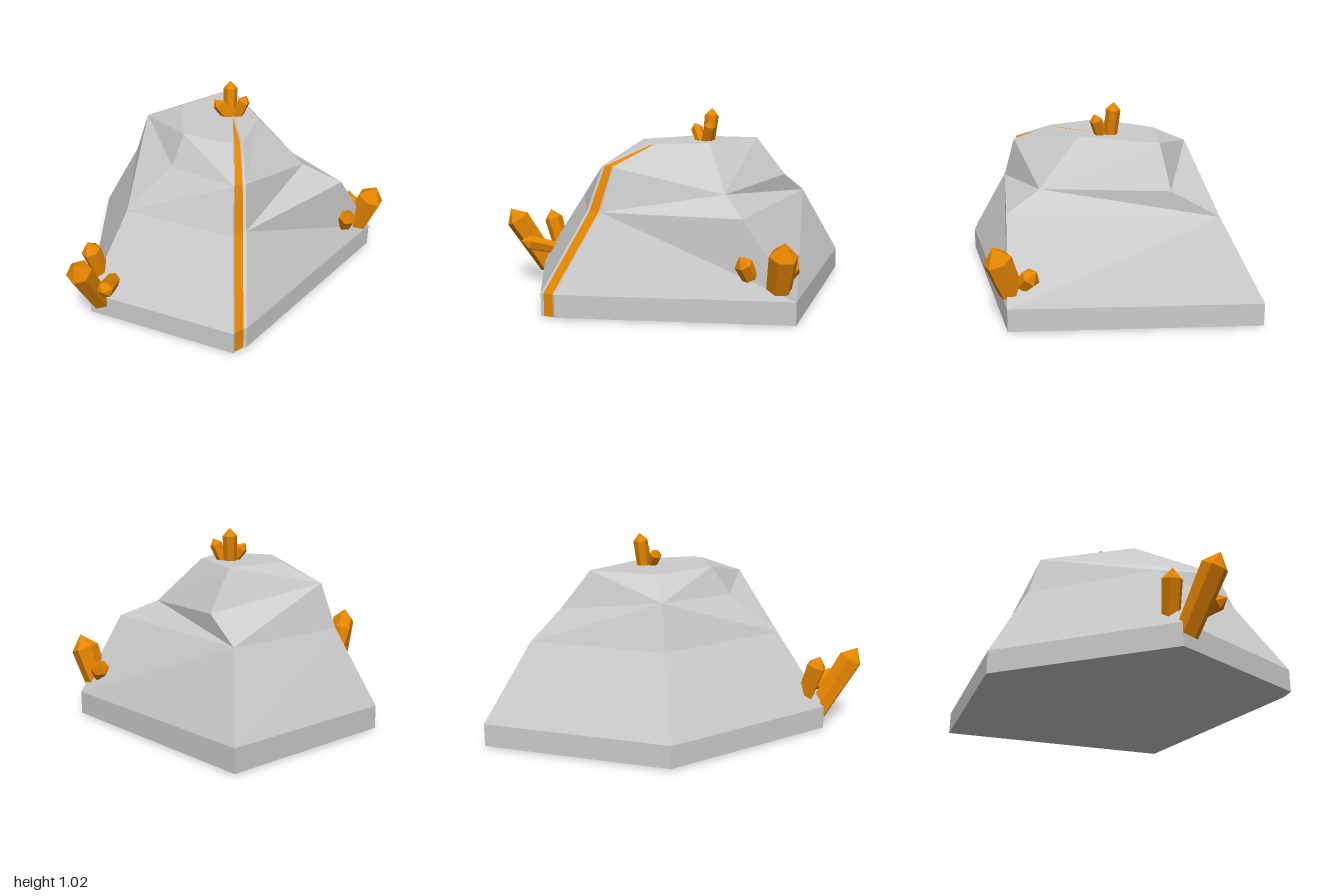
import * as THREE from 'three';

const grey = new THREE.MeshStandardMaterial({ color: 0xcccccc, flatShading: true });
const amber = new THREE.MeshStandardMaterial({ color: 0xe68600, flatShading: true });

// Cross-sections: back, right, chamfered front-right corner (2 points), front-left, left
const base = [[-0.4, 0.125, -1], [0.745, 0.125, -0.45], [0.46, 0.125, 0.72], [0.42, 0.125, 0.79], [-0.4, 0.125, 0.79], [-0.815, 0.125, -0.1]];
const rings = [
  base.map(([x, , z]) => [x, 0.006, z]),
  base,
  [[-0.29, 0.52, -0.75], [0.63, 0.52, -0.2], [0.35, 0.52, 0.48], [0.31, 0.52, 0.55], [-0.29, 0.52, 0.55], [-0.59, 0.52, -0.1]],
  [[-0.1, 0.64, -0.59], [0.42, 0.61, -0.15], [0.315, 0.745, 0.41], [0.275, 0.75, 0.465], [-0.14, 0.7, 0.32], [-0.51, 0.75, -0.1]],
  [[-0.13, 0.85, -0.43], [0.17, 0.85, -0.11], [0.2, 0.85, 0.19], [0.165, 0.85, 0.22], [-0.12, 0.85, 0.22], [-0.29, 0.85, -0.1]],
];
// Which way each quad is split, per level: 1 = start-low to end-high
const splits = ['000000', '010000', '100010', '000101'];
const VEIN = 2; // side of the cross-sections that carries the groove
const bottom = [0, 0, 0], top = [0.02, 0.85, -0.1];

function meshFrom(name, tris, material) {
  const g = new THREE.BufferGeometry();
  g.setAttribute('position', new THREE.Float32BufferAttribute(tris.flat(2), 3));
  g.computeVertexNormals();
  const m = new THREE.Mesh(g, material);
  m.name = name;
  return m;
}

const quad = (a, b, c, d, rising) => (rising ? [[a, c, d], [a, d, b]] : [[a, c, b], [b, c, d]]);

function makeRock() {
  const tris = [];
  const n = base.length;
  for (let i = 0; i < n; i++) {
    const j = (i + 1) % n;
    tris.push([bottom, rings[0][i], rings[0][j]]);
    if (i === VEIN) continue;
    for (let k = 0; k < rings.length - 1; k++) {
      tris.push(...quad(rings[k][i], rings[k][j], rings[k + 1][i], rings[k + 1][j], splits[k][i] === '1'));
    }
    tris.push([top, rings[4][j], rings[4][i]]);
  }
  return meshFrom('rock', tris, grey);
}

// Shallow groove down the chamfered corner: grey walls and an amber vein as its floor
function makeVein() {
  const group = new THREE.Group();
  group.name = 'vein';
  const rows = rings.map((r, k) => {
    const p = r[VEIN], q = r[VEIN + 1];
    const inward = k === 4 ? [-0.004, -0.008, -0.005] : [-0.006, 0, -0.004];
    const inner = (t) => p.map((v, i) => v + (q[i] - v) * t + inward[i]);
    return [p, inner(0.2), inner(0.85), q];
  });
  rows.push([top, top, top, top]);
  const walls = [], floor = [];
  for (let k = 0; k < rows.length - 1; k++) {
    for (let s = 0; s < 3; s++) {
      const strip = quad(rows[k][s], rows[k][s + 1], rows[k + 1][s], rows[k + 1][s + 1], false);
      // The last row meets in one point, so its second triangle is empty
      (s === 1 ? floor : walls).push(...strip.slice(0, k === rows.length - 2 ? 1 : 2));
    }
  }
  group.add(meshFrom('grooveWalls', walls, grey), meshFrom('veinFloor', floor, amber));
  return group;
}

// Six-sided crystal from its foot to its tip
function makeCrystal(foot, tip, r) {
  const a = new THREE.Vector3(...foot), dir = new THREE.Vector3(...tip).sub(a);
  const h = dir.length();
  const profile = [[0, 0], [r * 0.87, 0], [r, h - r * 1.05], [0, h]].map((p) => new THREE.Vector2(...p));
  const m = new THREE.Mesh(new THREE.LatheGeometry(profile, 6), amber);
  m.position.copy(a);
  m.quaternion.setFromUnitVectors(new THREE.Vector3(0, 1, 0), dir.normalize());
  m.name = 'crystal';
  return m;
}

const clusters = {
  frontCrystals: [
    [[-0.35, 0.085, 0.765], [-0.345, 0.43, 0.98], 0.067],
    [[-0.37, 0.18, 0.69], [-0.415, 0.41, 0.75], 0.052],
    [[-0.29, 0.2, 0.71], [-0.235, 0.26, 0.92], 0.043],
  ],
  sideCrystals: [
    [[0.69, 0.18, -0.375], [0.785, 0.43, -0.38], 0.074],
    [[0.655, 0.235, -0.235], [0.695, 0.35, -0.175], 0.047],
    [[0.64, 0.22, -0.41], [0.6, 0.31, -0.49], 0.05],
  ],
  topCrystals: [
    [[-0.01, 0.82, -0.13], [-0.018, 1.025, -0.155], 0.039],
    [[0.03, 0.82, -0.11], [0.088, 0.965, -0.13], 0.033],
    [[0.015, 0.82, -0.095], [-0.072, 0.94, -0.065], 0.033],
  ],
};

export function createModel() {
  const model = new THREE.Group();
  model.name = 'crystalRock';
  model.add(makeRock(), makeVein());
  for (const [name, list] of Object.entries(clusters)) {
    const g = new THREE.Group();
    g.name = name;
    list.forEach((c) => g.add(makeCrystal(...c)));
    model.add(g);
  }
  return model;
}
